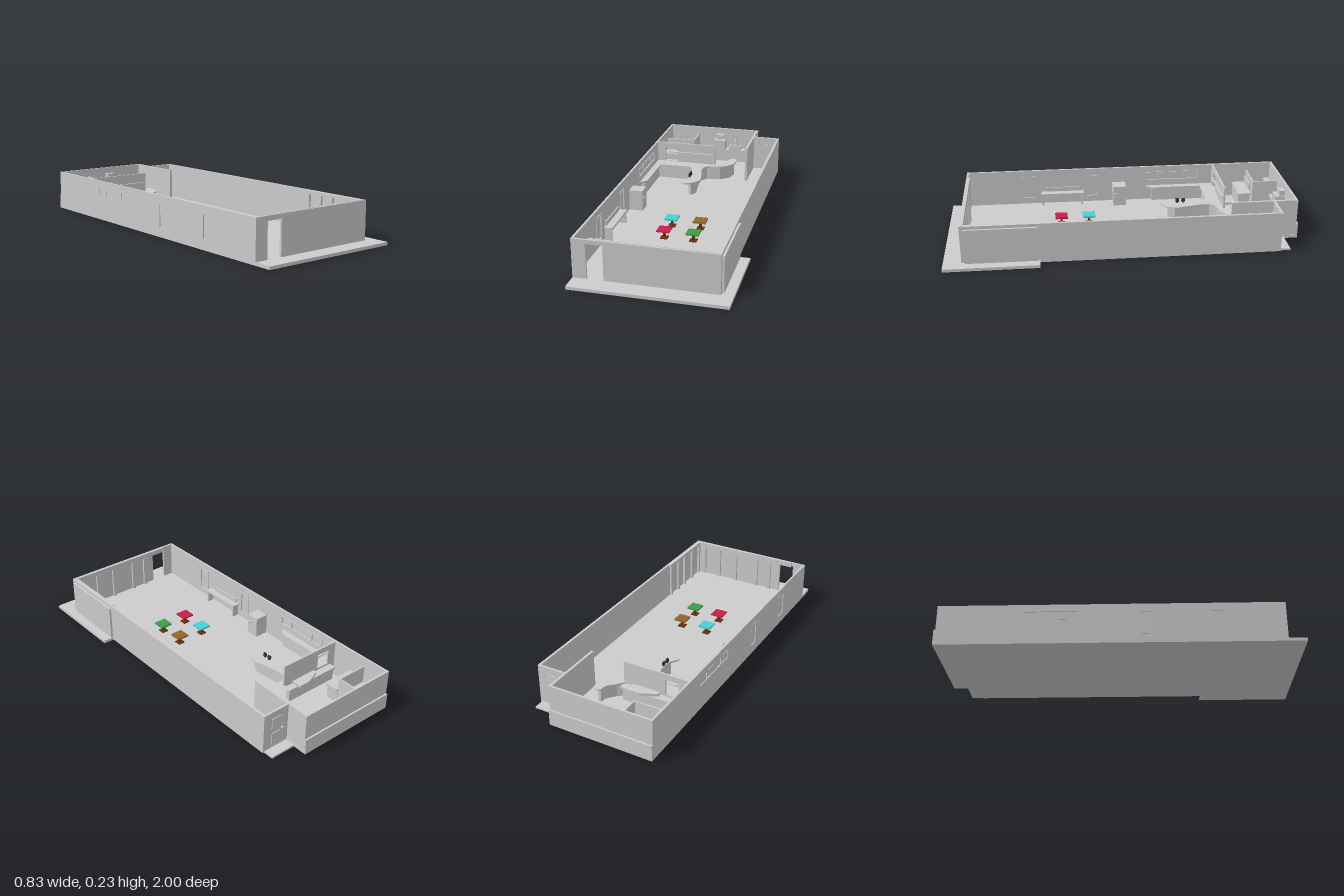
import * as THREE from 'three';

const GREY = new THREE.MeshStandardMaterial({ color: 0xcccccc, flatShading: true, side: THREE.DoubleSide });
const paint = (color) => new THREE.MeshStandardMaterial({ color });
const FLOOR = 0.017, TOP = 0.233;

export function createModel() {
  const model = new THREE.Group();

  const add = (name, geometry, material = GREY, parent = model) => {
    const mesh = new THREE.Mesh(geometry, material);
    mesh.name = name;
    parent.add(mesh);
    return mesh;
  };
  // Box given by its limits on each axis
  const box = (name, x0, x1, y0, y1, z0, z1, material, parent) => {
    const g = new THREE.BoxGeometry(x1 - x0, y1 - y0, z1 - z0);
    g.translate((x0 + x1) / 2, (y0 + y1) / 2, (z0 + z1) / 2);
    return add(name, g, material, parent);
  };
  // Upright wall with rectangular openings [a0, a1, y0, y1]; a runs along x or z
  const wall = (name, axis, a0, a1, at, thick, openings = [], y1 = TOP) => {
    const rect = (C, p0, p1, q0, q1) => {
      const s = new C();
      s.moveTo(p0, q0); s.lineTo(p1, q0); s.lineTo(p1, q1); s.lineTo(p0, q1); s.closePath();
      return s;
    };
    const flip = axis === 'z' ? -1 : 1;
    const shape = rect(THREE.Shape, a0 * flip, a1 * flip, 0.002, y1);
    for (const [o0, o1, q0, q1] of openings) shape.holes.push(rect(THREE.Path, o0 * flip, o1 * flip, q0, q1));
    const g = new THREE.ExtrudeGeometry(shape, { depth: thick, bevelEnabled: false });
    if (axis === 'z') g.rotateY(Math.PI / 2);
    g.translate(axis === 'z' ? at : 0, 0, axis === 'z' ? 0 : at);
    return add(name, g);
  };
  // Horizontal slab from a plan outline of [x, z] points
  const slab = (name, points, y0, y1) => {
    const shape = new THREE.Shape(points.map(([x, z]) => new THREE.Vector2(x, -z)));
    const g = new THREE.ExtrudeGeometry(shape, { depth: y1 - y0, bevelEnabled: false });
    g.rotateX(-Math.PI / 2);
    g.translate(0, y0, 0);
    return add(name, g);
  };

  // Floor, front porch and rear step
  slab('floor', [[-0.415, 1], [0.413, 1], [0.413, 0.475], [0.348, 0.475], [0.348, -0.855],
    [0.19, -0.855], [0.19, -0.995], [-0.415, -0.995]], 0, FLOOR);
  box('rearStep', 0.19, 0.34, 0, 0.01, -0.92, -0.855);

  // Outer walls
  const windows = [[-0.52, -0.19, 0.14, 0.197], [0.105, 0.176, 0.05, 0.19], [0.49, 0.57, 0.05, 0.195]];
  wall('windowWall', 'z', -0.99, 0.9, -0.415, 0.012, windows);
  wall('sideWall', 'z', -0.855, 0.9, 0.335, 0.014);
  wall('frontWall', 'x', -0.415, 0.349, 0.888, 0.012, [[-0.34, -0.25, FLOOR, 0.21]]);
  wall('backWall', 'x', -0.415, 0.188, -0.99, 0.012);
  box('backPlinth', -0.415, 0.19, 0, 0.09, -1, -0.988);
  wall('kitchenSideWall', 'z', -0.99, -0.61, 0.172, 0.014);
  wall('rearDoorWall', 'x', 0.186, 0.349, -0.861, 0.012, [[0.22, 0.31, FLOOR, 0.205]]);

  // Window panes and frames
  for (const [z0, z1, y0, y1] of windows) {
    const f = 0.007, xa = -0.416, xb = -0.399;
    box('windowPane', -0.411, -0.407, y0, y1, z0, z1);
    box('windowSill', xa, xb, y0, y0 + f, z0, z1);
    box('windowHead', xa, xb, y1 - f, y1, z0, z1);
    const posts = z1 - z0 > 0.2 ? [z0, z0 + 0.08, z1 - 0.08 - f, z1 - f] : [z0, z1 - f];
    for (const z of posts) box('windowPost', xa, xb, y0, y1, z, z + f);
  }

  // Glazed bay on the side wall and mullions inside the shop front
  box('sideGlazing', 0.348, 0.361, 0.01, 0.216, 0.48, 0.88);
  for (const z of [0.49, 0.58, 0.665, 0.765, 0.86]) box('sideMullion', 0.322, 0.336, FLOOR, 0.215, z, z + 0.018);
  for (const x of [0.28, 0.17, 0.05, -0.1, -0.19]) box('frontMullion', x, x + 0.02, FLOOR, 0.205, 0.876, 0.889);
  box('frontBeam', -0.33, 0.34, 0.205, 0.235, 0.878, 0.89);
  box('sideBeam', 0.324, 0.336, 0.215, TOP, 0.48, 0.88);

  // Rear door with two raised panels and a knob
  box('rearDoor', 0.22, 0.31, FLOOR, 0.205, -0.86, -0.852);
  for (const [y0, y1] of [[0.035, 0.1], [0.125, 0.19]]) box('rearDoorPanel', 0.235, 0.295, y0, y1, -0.864, -0.848);
  add('rearDoorKnob', new THREE.SphereGeometry(0.007, 12, 8)).position.set(0.229, 0.113, -0.867);

  // Partition between shop and kitchen
  wall('kitchenPartition', 'x', -0.403, -0.02, -0.617, 0.01, [[-0.35, -0.27, 0.11, 0.2]]);
  box('servingShelf', -0.33, -0.03, 0.17, 0.177, -0.607, -0.595);

  // Serving counter: top with a narrower base
  const inner = [[-0.365, -0.235], [-0.365, -0.53], [-0.165, -0.53]];
  const tongue = new THREE.CatmullRomCurve3([[-0.155, -0.515], [-0.13, -0.4], [-0.137, -0.33], [-0.163, -0.29],
    [-0.148, -0.255], [-0.1, -0.26], [-0.055, -0.32], [-0.068, -0.42], [-0.085, -0.52], [-0.06, -0.568],
    [0.02, -0.58], [0.08, -0.63], [0.097, -0.7], [0.09, -0.74], [0.05, -0.74], [0.042, -0.7], [0.005, -0.66],
    [-0.03, -0.62]].map(([x, z]) => new THREE.Vector3(x, 0, z))).getPoints(70).map((p) => [p.x, p.z]);
  slab('counterTop', [[-0.403, -0.61], [-0.403, -0.195], ...inner, ...tongue, [-0.03, -0.607]], 0.098, 0.108);
  box('counterBaseSide', -0.403, -0.38, FLOOR, 0.098, -0.6, -0.23);
  box('counterBaseBack', -0.403, -0.13, FLOOR, 0.098, -0.607, -0.545);
  slab('counterBaseTongue', [[-0.14, -0.6], [-0.14, -0.52], [-0.115, -0.4], [-0.128, -0.31], [-0.105, -0.29],
    [-0.08, -0.33], [-0.095, -0.44], [-0.1, -0.54], [-0.07, -0.58], [0.015, -0.592], [0.068, -0.635],
    [0.084, -0.7], [0.075, -0.725], [0.058, -0.725], [0.055, -0.69], [0.015, -0.64], [-0.03, -0.607]], FLOOR, 0.098);

  // Till on the counter
  for (const z of [-0.385, -0.35]) {
    box('tillStand', -0.129, -0.121, 0.108, 0.116, z - 0.004, z + 0.004, paint(0x333333));
    box('tillScreen', -0.131, -0.121, 0.114, 0.134, z - 0.01, z + 0.01, paint(0x333333));
    box('tillButton', -0.121, -0.119, 0.117, 0.123, z - 0.004, z + 0.004, paint(0xa02020));
  }

  // Kitchen fittings: cold store, worktops, shelving, cooker and sink
  wall('storeSide', 'z', -0.978, -0.83, -0.222, 0.008, [], 0.185);
  wall('storeFront', 'x', -0.403, -0.214, -0.835, 0.008, [], 0.185);
  box('storeShelf', -0.4, -0.225, 0.12, 0.13, -0.975, -0.94);
  box('storeBlock', -0.385, -0.24, FLOOR, 0.1, -0.94, -0.85);
  box('worktop', -0.4, -0.21, 0.1, 0.11, -0.82, -0.74);
  box('worktopBase', -0.395, -0.225, FLOOR, 0.1, -0.815, -0.745);
  box('worktopBack', -0.4, -0.27, 0.11, 0.15, -0.826, -0.818);
  box('prepBench', -0.37, -0.02, 0.09, 0.1, -0.66, -0.618);
  box('prepBenchBase', -0.365, -0.03, FLOOR, 0.09, -0.65, -0.618);
  slab('prepCorner', [[-0.24, -0.64], [-0.15, -0.68], [-0.08, -0.68], [-0.08, -0.62], [-0.24, -0.62]], 0.1, 0.115);
  box('rearBench', -0.21, 0.17, 0.09, 0.1, -0.978, -0.93);
  box('rearBenchBase', -0.205, 0.165, FLOOR, 0.09, -0.975, -0.94);
  box('cooker', -0.1, -0.025, 0.1, 0.165, -0.975, -0.92);
  box('cookerHood', -0.09, -0.035, 0.165, 0.195, -0.978, -0.945);
  for (const x of [0.0, 0.072]) box('sinkSide', x, x + 0.008, 0.1, 0.125, -0.978, -0.93);
  for (const z of [-0.978, -0.938]) box('sinkEdge', 0.0, 0.08, 0.1, 0.125, z, z + 0.008);
  const tap = new THREE.CatmullRomCurve3([[0.04, 0.12, -0.974], [0.04, 0.16, -0.974], [0.04, 0.168, -0.96],
    [0.04, 0.155, -0.95]].map((p) => new THREE.Vector3(...p)));
  add('sinkTap', new THREE.TubeGeometry(tap, 12, 0.004, 8));

  // Cupboard with a handle, and a wall bench
  box('cupboard', -0.4, -0.32, FLOOR, 0.14, -0.063, 0.015);
  add('cupboardKnob', new THREE.SphereGeometry(0.008, 12, 8)).position.set(-0.316, 0.095, 0.0);
  box('benchTop', -0.403, -0.355, 0.085, 0.095, 0.195, 0.455);
  for (const z of [0.2, 0.44]) box('benchEnd', -0.4, -0.36, FLOOR, 0.085, z, z + 0.01);
  box('benchBack', -0.403, -0.396, 0.095, 0.12, 0.22, 0.43);

  // Four coloured tables on pedestals
  const wood = paint(0x6b2f14);
  const tables = [[-0.093, 0.18, 0x45d0d2], [0.072, 0.18, 0x966428], [-0.093, 0.343, 0xc81e4b], [0.072, 0.343, 0x3c9e46]];
  for (const [x, z, color] of tables) {
    const table = new THREE.Group();
    table.name = 'table';
    table.position.set(x, FLOOR, z);
    model.add(table);
    box('tableTop', -0.036, 0.036, 0.046, 0.055, -0.036, 0.036, paint(color), table);
    box('tablePost', -0.006, 0.006, 0.005, 0.046, -0.006, 0.006, wood, table);
    box('tableFoot', -0.02, 0.02, 0, 0.006, -0.02, 0.02, wood, table);
  }
  return model;
}
